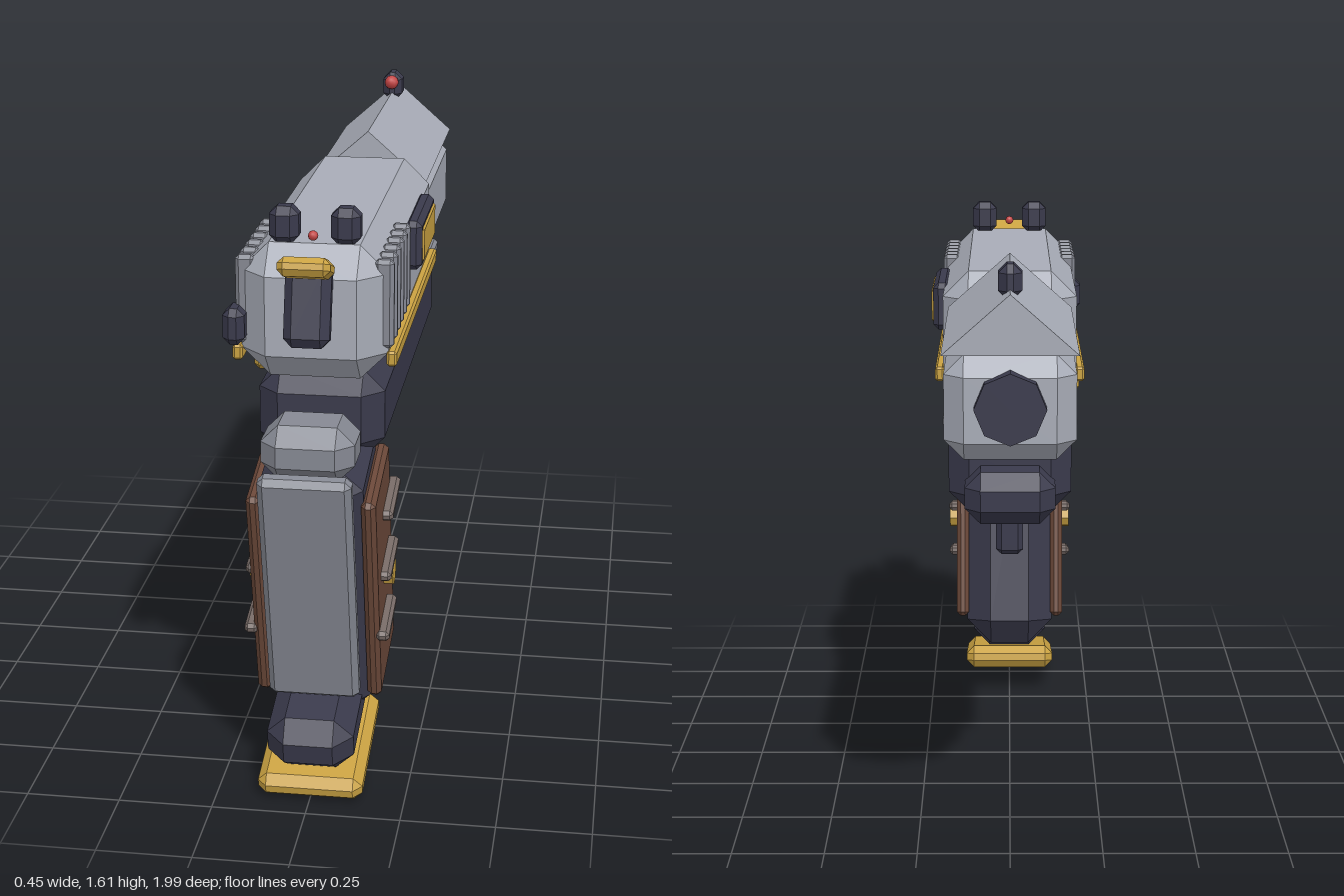
import * as THREE from 'three';
import { ConvexGeometry } from 'three/addons/geometries/ConvexGeometry.js';

const paint = (name, color) => {
  const m = new THREE.MeshStandardMaterial({ color });
  m.name = name;
  return m;
};

// Box with every edge cut by one flat chamfer
function chamferBox(w, h, d, c) {
  const pts = [];
  const [x, y, z] = [w / 2, h / 2, d / 2];
  for (const i of [-1, 1]) for (const j of [-1, 1]) for (const k of [-1, 1]) {
    pts.push(new THREE.Vector3(i * x, j * (y - c), k * (z - c)));
    pts.push(new THREE.Vector3(i * (x - c), j * y, k * (z - c)));
    pts.push(new THREE.Vector3(i * (x - c), j * (y - c), k * z));
  }
  return new ConvexGeometry(pts);
}

export function createModel() {
  const steel = paint('light steel', 0xa8acb7);
  const grey = paint('mid grey', 0x868993);
  const dark = paint('dark gunmetal', 0x3a3a4c);
  const gold = paint('gold', 0xcaa242);
  const wood = paint('brown wood', 0x6b4839);
  const ridge = paint('grip ridge', 0x766a66);
  const red = paint('red', 0xc44444);

  const model = new THREE.Group();
  model.name = 'pistol';

  const add = (name, geo, mat, [x, y, z], tilt = 0) => {
    const m = new THREE.Mesh(geo, mat);
    m.name = name;
    m.position.set(x, y, z);
    m.rotation.x = tilt;
    model.add(m);
    return m;
  };
  const box = (name, mat, size, chamfer, pos, tilt) =>
    add(name, chamferBox(...size, chamfer), mat, pos, tilt);

  // Slide: wide rear, narrower front with a gabled roof
  box('slideRear', steel, [0.375, 0.35, 1.08], 0.072, [0, 1.325, 0.313]);
  box('slideFront', steel, [0.33, 0.265, 0.738], 0.05, [0, 1.272, -0.596]);
  const roofShape = new THREE.Shape([
    new THREE.Vector2(-0.17, 1.41), new THREE.Vector2(0.17, 1.41), new THREE.Vector2(0, 1.56),
  ]);
  add('slideRoof', new THREE.ExtrudeGeometry(roofShape, { depth: 0.738, bevelEnabled: false }),
    steel, [0, 0, -0.965]);

  // Muzzle
  const bore = new THREE.CylinderGeometry(0.09, 0.09, 0.1, 8).toNonIndexed();
  bore.computeVertexNormals();
  add('muzzle', bore, dark, [0, 1.282, -0.95], Math.PI / 2);

  // Slide details on both sides
  for (const s of [-1, 1]) {
    for (let i = 0; i < 6; i++)
      box('serration', grey, [0.05, 0.23, 0.032], 0.01, [s * 0.176, 1.35, 0.778 - i * 0.069]);
    box('slideTrim', gold, [0.026, 0.04, 0.975], 0.006, [s * 0.197, 1.21, 0.312]);
    box('rearSight', dark, [0.075, 0.095, 0.072], 0.02, [s * 0.078, 1.542, 0.755]);
  }
  box('ejectionPortFrame', dark, [0.05, 0.135, 0.33], 0.015, [0.195, 1.373, 0.165]);
  box('ejectionPort', gold, [0.05, 0.098, 0.292], 0.008, [0.2, 1.373, 0.165]);

  // Sights and dots
  box('frontSight', dark, [0.06, 0.088, 0.09], 0.022, [0, 1.576, -0.84]);
  const dot = (r, y, z) => add('sightDot', new THREE.IcosahedronGeometry(r, 1), red, [0, y, z]);
  dot(0.022, 1.594, -0.788);
  dot(0.013, 1.525, 0.8);

  // Hammer and side controls
  box('hammer', dark, [0.116, 0.21, 0.068], 0.022, [0, 1.37, 0.885], -0.27);
  box('hammerSpur', gold, [0.132, 0.048, 0.105], 0.016, [0, 1.475, 0.917], -0.35);
  box('safetyLever', dark, [0.056, 0.095, 0.09], 0.018, [-0.2, 1.288, 0.8]);
  box('slideRelease', gold, [0.046, 0.066, 0.215], 0.014, [-0.188, 1.098, 0.4]);

  // Frame
  box('slideRail', grey, [0.36, 0.036, 0.97], 0.01, [0, 1.148, -0.035]);
  box('frame', dark, [0.33, 0.24, 1.27], 0.056, [0, 1.015, 0.09]);
  box('frameNose', dark, [0.24, 0.14, 0.25], 0.042, [0, 0.965, -0.54]);
  box('beavertail', grey, [0.24, 0.145, 0.195], 0.045, [0, 0.99, 0.86]);

  // Trigger and guard
  box('guardPost', dark, [0.08, 0.3, 0.066], 0.016, [0, 0.78, 0.035]);
  box('guardBar', dark, [0.08, 0.052, 0.56], 0.016, [0, 0.656, 0.282]);
  box('trigger', gold, [0.06, 0.17, 0.052], 0.016, [0, 0.81, 0.335], 0.27);

  // Grip, leaning back toward the heel of the hand
  const lean = 0.225;
  box('grip', dark, [0.27, 0.82, 0.395], 0.075, [0, 0.58, 0.676], lean);
  box('gripHeel', dark, [0.23, 0.16, 0.36], 0.05, [0, 0.197, 0.775], lean);
  box('basePlate', gold, [0.28, 0.07, 0.395], 0.024, [0, 0.084, 0.745], lean);
  box('backstrap', grey, [0.24, 0.69, 0.055], 0.016, [0, 0.61, 0.892], lean);

  // Wooden grip panels with ridges and a round stud
  for (const s of [-1, 1]) {
    box('gripPanel', wood, [0.038, 0.63, 0.298], 0.012, [s * 0.149, 0.573, 0.673], lean);
    for (const [y, z] of [[0.768, 0.638], [0.61, 0.674], [0.453, 0.708]])
      box('gripRidge', ridge, [0.036, 0.03, 0.18], 0.009, [s * 0.176, y, z], lean);
    const stud = new THREE.CylinderGeometry(0.037, 0.037, 0.04, 8).rotateZ(Math.PI / 2).toNonIndexed();
    stud.computeVertexNormals();
    add('gripStud', stud, gold, [s * 0.173, 0.575, 0.676]);
  }

  return model;
}
